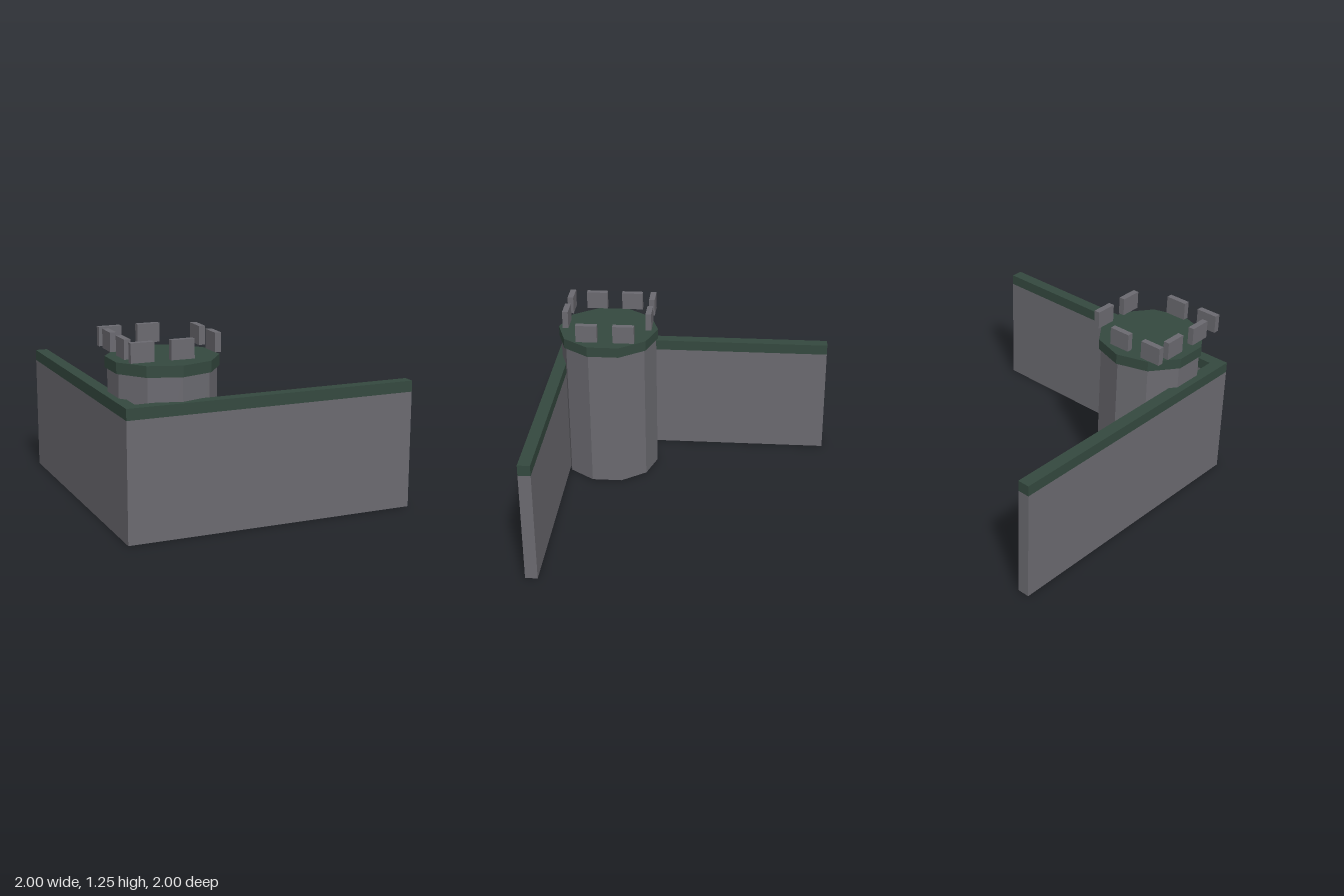
import * as THREE from 'three';

export function createModel() {
  const model = new THREE.Group();
  const stone = new THREE.MeshStandardMaterial({ color: 0x6b6a70, flatShading: true });
  stone.name = 'grey stone';
  const green = new THREE.MeshStandardMaterial({ color: 0x34493f, flatShading: true });
  green.name = 'dark green coping';

  const add = (name, geometry, material, x, y, z) => {
    const mesh = new THREE.Mesh(geometry, material);
    mesh.name = name;
    mesh.position.set(x, y, z);
    model.add(mesh);
  };

  // box given by its minimum and maximum corners
  const box = (name, material, [x0, y0, z0], [x1, y1, z1]) =>
    add(name, new THREE.BoxGeometry(x1 - x0, y1 - y0, z1 - z0), material,
      (x0 + x1) / 2, (y0 + y1) / 2, (z0 + z1) / 2);

  // two walls meeting at the corner, each with a coping strip
  const wallTop = 0.795, copingTop = 0.87, inner = 0.915;
  for (const [part, material, y0, y1] of [['Wall', stone, 0, wallTop], ['Coping', green, wallTop, copingTop]]) {
    box('front' + part, material, [-1, y0, inner], [1, y1, 1]);
    box('side' + part, material, [-1, y0, -1], [-inner, y1, inner]);
  }

  // ten-sided corner tower
  const cx = -0.618, cz = 0.615;
  add('towerShaft', new THREE.CylinderGeometry(0.35, 0.35, 1.03, 10), stone, cx, 0.515, cz);
  add('towerCap', new THREE.CylinderGeometry(0.365, 0.365, 0.073, 10), green, cx, 1.0645, cz);

  // merlons floating above the cap, two on each side
  const y0 = 1.13, y1 = 1.255;
  for (const z of [0.29, 0.895])
    for (const x of [-0.943, -0.68])
      box('merlon', stone, [x, y0, z], [x + 0.153, y1, z + 0.042]);
  for (const x of [-0.94, -0.336])
    for (const z of [0.391, 0.655])
      box('merlon', stone, [x, y0, z], [x + 0.042, y1, z + 0.153]);

  return model;
}
